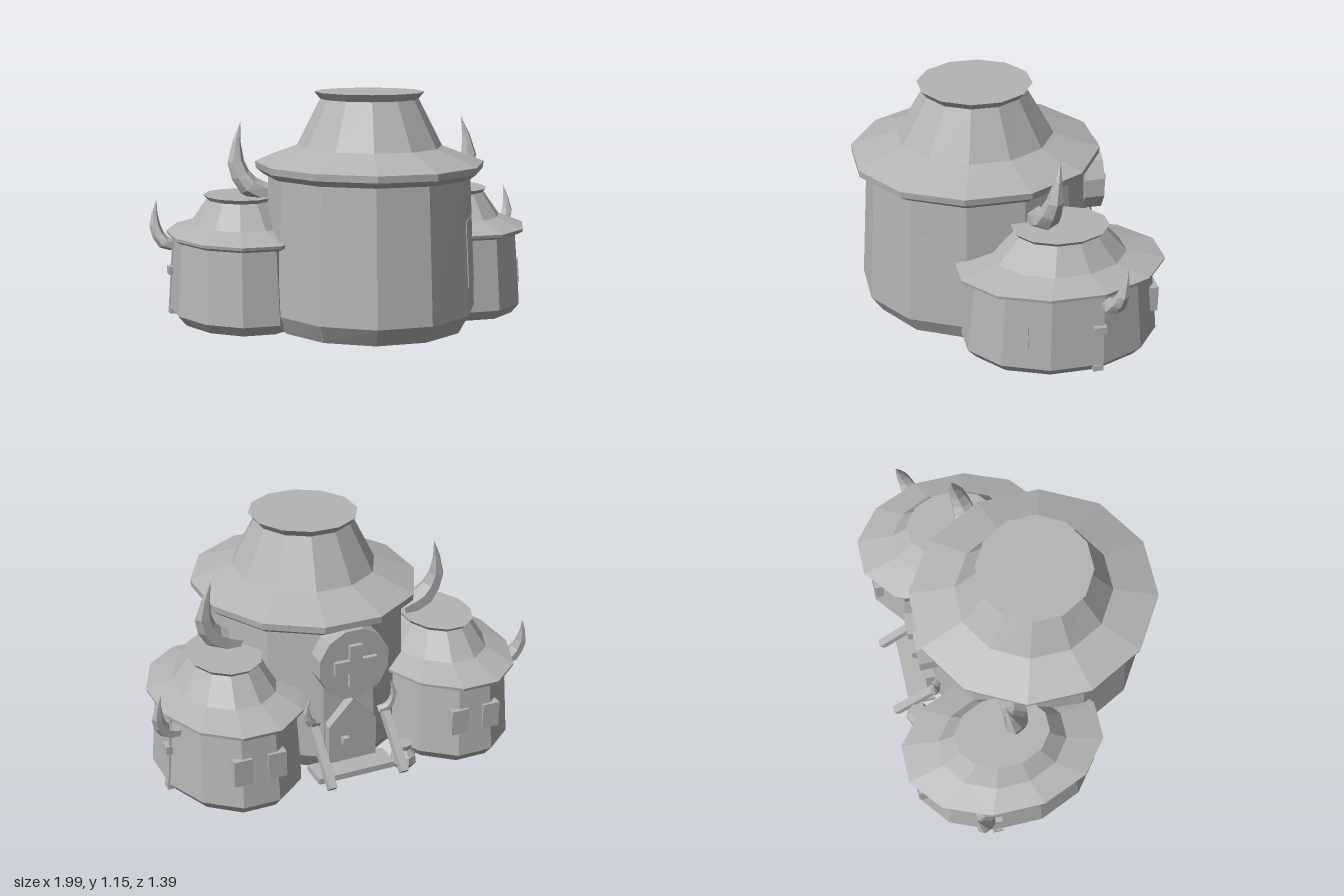
import * as THREE from 'three';

const stone = new THREE.MeshStandardMaterial({ color: 0xb4b4b4, flatShading: true, side: THREE.DoubleSide });
stone.name = 'plain grey';

function add(parent, name, geometry, x = 0, y = 0, z = 0) {
  const mesh = new THREE.Mesh(geometry, stone);
  mesh.name = name;
  mesh.position.set(x, y, z);
  parent.add(mesh);
  return mesh;
}

const box = (parent, name, size, x, y, z) => add(parent, name, new THREE.BoxGeometry(...size), x, y, z);

// Skin a stack of equal rings and close the last one with a fan
function skin(rings) {
  const n = rings[0].length, pos = [], index = [];
  rings.forEach(r => r.forEach(p => pos.push(p.x, p.y, p.z)));
  for (let i = 0; i < rings.length - 1; i++) {
    for (let j = 0; j < n; j++) {
      const k = (j + 1) % n, a = i * n + j, b = i * n + k;
      index.push(a, b, b + n, a, b + n, a + n);
    }
  }
  const last = (rings.length - 1) * n;
  for (let j = 1; j < n - 1; j++) index.push(last, last + j, last + j + 1);
  const g = new THREE.BufferGeometry();
  g.setAttribute('position', new THREE.Float32BufferAttribute(pos, 3));
  g.setIndex(index);
  g.computeVertexNormals();
  return g;
}

// Twelve-sided oval tower; each row is [half width, half depth, height]
function tower(rows) {
  const c = Math.cos(Math.PI / 12);
  return skin(rows.map(([rx, rz, y]) => Array.from({ length: 12 }, (_, j) => {
    const t = (j + 0.5) * Math.PI / 6;
    return new THREE.Vector3(Math.sin(t) * rx / c, y, Math.cos(t) * rz / c);
  })));
}

// Curved horn; each row is [x, y, z, thickness radius, depth radius]
function horn(rows) {
  const curve = new THREE.CatmullRomCurve3(rows.map(r => new THREE.Vector3(r[0], r[1], r[2])));
  const steps = (rows.length - 1) * 2, rings = [];
  for (let i = 0; i <= steps; i++) {
    const u = i / steps, p = curve.getPoint(u), d = curve.getTangent(u);
    const k = Math.min(Math.floor(i / 2), rows.length - 2), f = i / 2 - k;
    const rn = THREE.MathUtils.lerp(rows[k][3], rows[k + 1][3], f);
    const rz = THREE.MathUtils.lerp(rows[k][4], rows[k + 1][4], f);
    const normal = new THREE.Vector3(d.y, -d.x, 0).normalize();
    rings.push(Array.from({ length: 6 }, (_, j) => {
      const t = j * Math.PI / 3;
      const q = p.clone().addScaledVector(normal, Math.cos(t) * rn);
      q.z -= Math.sin(t) * rz;
      return q;
    }));
  }
  return skin(rings);
}

export function createModel() {
  const model = new THREE.Group();
  model.name = 'hutCluster';

  // Main tower with flared roof, open underneath
  add(model, 'mainTower', tower([
    [0.46, 0.5, 0], [0.503, 0.56, 0.09], [0.478, 0.52, 0.745],
    [0.5, 0.54, 0.745], [0.535, 0.59, 0.775], [0.54, 0.592, 0.808],
    [0.343, 0.372, 0.885], [0.232, 0.243, 1.115], [0.26, 0.27, 1.15],
  ]), 0.025, 0, 0.105);

  // Flush panel on the main wall
  const panel = box(model, 'wallPanel', [0.215, 0.32, 0.012], 0.45, 0.38, 0.375);
  panel.rotation.set(-0.05, 1.09, 0, 'YXZ');

  // Narrow slit on one side tower
  const slit = box(model, 'wallSlit', [0.025, 0.13, 0.012], 0.85, 0.205, 0.04);
  slit.rotation.set(-0.08, 1.17, 0.06, 'YXZ');

  for (const s of [1, -1]) {
    // Side tower and its fittings
    const wing = new THREE.Group();
    wing.name = s > 0 ? 'leftWing' : 'rightWing';
    wing.scale.x = s;
    model.add(wing);
    add(wing, 'sideTower', tower([
      [0.3, 0.425, 0], [0.34, 0.466, 0.05], [0.315, 0.43, 0.41],
      [0.325, 0.452, 0.41], [0.348, 0.488, 0.425], [0.35, 0.492, 0.44],
      [0.235, 0.31, 0.485], [0.157, 0.207, 0.605], [0.172, 0.226, 0.625],
    ]), 0.565, 0, -0.19);
    add(wing, 'lowerHorn', horn([
      [0.86, 0.36, -0.35, 0.03, 0.05], [0.925, 0.375, -0.355, 0.035, 0.05],
      [0.965, 0.46, -0.38, 0.028, 0.03], [0.95, 0.585, -0.405, 0.001, 0.001],
    ]));
    const post = box(wing, 'wallPost', [0.02, 0.4, 0.015], 0.888, 0.225, -0.313);
    post.rotation.z = 0.07;
    box(wing, 'postBracket', [0.04, 0.04, 0.06], 0.895, 0.24, -0.3);
    box(wing, 'postFoot', [0.035, 0.03, 0.05], 0.895, 0.035, -0.295);
    for (const dx of [-0.085, 0.085]) {
      box(wing, 'shutter', [0.09, 0.13, 0.05], 0.565 + dx, 0.235, -0.622);
    }

    // Parts mirrored about the main tower
    const side = new THREE.Group();
    side.name = s > 0 ? 'leftTrim' : 'rightTrim';
    side.position.x = 0.025;
    side.scale.x = s;
    model.add(side);
    add(side, 'upperHorn', horn([
      [0.44, 0.63, -0.105, 0.05, 0.075], [0.56, 0.68, -0.115, 0.055, 0.065],
      [0.618, 0.8, -0.14, 0.042, 0.04], [0.585, 0.99, -0.17, 0.001, 0.001],
    ]));
    add(side, 'doorHorn', horn([
      [0.16, 0.28, -0.44, 0.02, 0.025], [0.205, 0.3, -0.455, 0.022, 0.024],
      [0.23, 0.36, -0.46, 0.017, 0.016], [0.21, 0.45, -0.465, 0.001, 0.001],
    ]));
    const beam = box(side, 'porchBeam', [0.04, 0.04, 0.31], 0.19, 0.16, -0.565);
    beam.rotation.x = -Math.PI / 4;
  }

  // Gabled door with handle and step
  const door = new THREE.Shape([[-0.125, 0.04], [0.125, 0.04], [0.125, 0.27], [0, 0.4], [-0.125, 0.27]]
    .map(p => new THREE.Vector2(...p)));
  add(model, 'door', new THREE.ExtrudeGeometry(door, { depth: 0.08, bevelEnabled: false }), 0.025, 0, -0.49);
  box(model, 'doorHandle', [0.035, 0.035, 0.03], 0.07, 0.19, -0.505);
  box(model, 'doorStep', [0.4, 0.03, 0.14], 0.05, 0.055, -0.53);

  // Round plaque with a raised cross
  const disc = add(model, 'plaque', new THREE.CylinderGeometry(0.183, 0.183, 0.1, 12), 0.03, 0.6, -0.46);
  disc.rotation.set(Math.PI / 2, Math.PI / 12, 0);
  const w = 0.033, l = 0.108;
  const cross = new THREE.Shape([[-w, -l], [w, -l], [w, -w], [l, -w], [l, w], [w, w],
    [w, l], [-w, l], [-w, w], [-l, w], [-l, -w], [-w, -w]].map(p => new THREE.Vector2(...p)));
  add(model, 'plaqueCross', new THREE.ExtrudeGeometry(cross, { depth: 0.03, bevelEnabled: false }), 0.03, 0.6, -0.533);

  // Small pot beside the door
  const pot = [[0, 0], [0.04, 0], [0.065, 0.035], [0.06, 0.07], [0.03, 0.1], [0.042, 0.13], [0, 0.13]];
  add(model, 'pot', new THREE.LatheGeometry(pot.map(p => new THREE.Vector2(...p)), 8), -0.215, 0.01, -0.565);

  return model;
}
